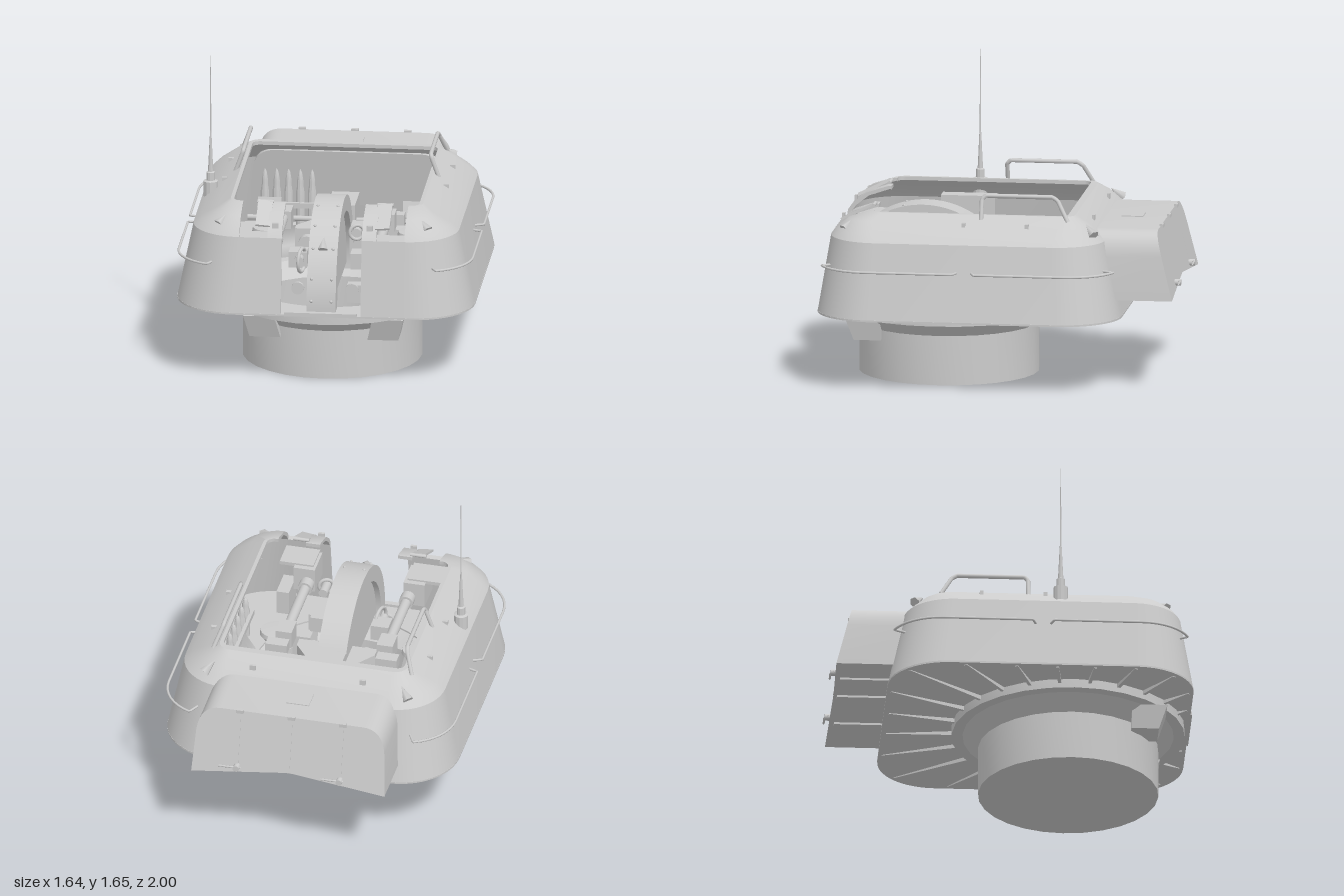
import * as THREE from 'three';
import { toCreasedNormals } from 'three/addons/utils/BufferGeometryUtils.js';

const mat = new THREE.MeshStandardMaterial({ color: 0xcccccc, side: THREE.DoubleSide });
const V = (x, y, z) => new THREE.Vector3(x, y, z);

export function createModel() {
  const root = new THREE.Group();
  const add = (name, geo, x = 0, y = 0, z = 0, rx = 0, ry = 0, rz = 0) => {
    const m = new THREE.Mesh(geo, mat);
    m.name = name;
    m.position.set(x, y, z);
    m.rotation.set(rx, ry, rz);
    root.add(m);
    return m;
  };
  const box = (name, w, h, d, ...at) => add(name, new THREE.BoxGeometry(w, h, d), ...at);
  const cyl = (name, r0, r1, h, ...at) => add(name, new THREE.CylinderGeometry(r0, r1, h, 16), ...at);
  const tube = (name, pts, r) => {
    const path = new THREE.CurvePath();
    for (let i = 1; i < pts.length; i++) path.add(new THREE.LineCurve3(pts[i - 1], pts[i]));
    return add(name, new THREE.TubeGeometry(path, pts.length * 8, r, 8));
  };
  const lathe = (name, pts, seg, ...at) => add(name, toCreasedNormals(
    new THREE.LatheGeometry(pts.map(p => new THREE.Vector2(...p)), seg), 0.5), ...at);

  // Armoured hull: rounded outlines lofted outside, over the rim and back down inside,
  // left open at the front slot
  const outline = ([y, hx, zf, zb, r]) => {
    const half = [[0.22, zf], [0.3, zf], [0.455, zf]];
    const arc = (cz, a0) => {
      for (let k = 0; k <= 10; k++) {
        const a = a0 - k * Math.PI / 20;
        half.push([hx - r + r * Math.cos(a), cz + r * Math.sin(a)]);
      }
    };
    arc(zf - r, Math.PI / 2);
    arc(zb + r, 0);
    return [...half, ...half.slice().reverse().map(([x, z]) => [-x, z])].map(([x, z]) => [x, y, z]);
  };
  const outer = [
    [0.41, 0.82, 0.99, -0.69, 0.33], [0.83, 0.732, 0.92, -0.6, 0.27], [0.87, 0.69, 0.89, -0.56, 0.23],
    [0.925, 0.6, 0.82, -0.5, 0.14], [0.965, 0.53, 0.7, -0.43, 0.07], [0.965, 0.51, 0.68, -0.39, 0.04]];
  const inner = outer.map(([y, hx, zf, zb, r], i) => i === 5 ? [0.945, hx, zf, zb, r]
    : [i ? y - 0.015 : y + 0.002, hx - 0.015, zf - 0.015, zb + 0.015, r - 0.015]);
  const rings = [...outer, ...inner.reverse()].map(outline);
  const n = rings[0].length, pos = [];
  const quad = (a, b, c, d) => pos.push(...a, ...b, ...c, ...a, ...c, ...d);
  for (let i = 0; i < 12; i++) {
    const A = rings[i], B = rings[(i + 1) % 12];
    for (let c = 0; c < n - 1; c++) {
      const notch = (c === 1 || c === n - 3) && i >= 1 && i <= 9;   // sight ports
      if (!notch) quad(A[c], A[c + 1], B[c + 1], B[c]);
    }
  }
  for (const c of [0, 1, 2, n - 3, n - 2, n - 1])                   // slot and port edges
    for (let i = 0; i < 5; i++) quad(rings[i][c], rings[i + 1][c], rings[10 - i][c], rings[11 - i][c]);
  for (const c of [1, n - 3]) quad(rings[1][c], rings[1][c + 1], rings[10][c + 1], rings[10][c]);
  const hull = new THREE.BufferGeometry();
  hull.setAttribute('position', new THREE.Float32BufferAttribute(pos, 3));
  add('hull', toCreasedNormals(hull, 0.42));

  // Floor plate with the turret ring hole
  const floor = new THREE.Shape(rings[0].map(p => new THREE.Vector2(p[0], -p[2])));
  floor.holes.push(new THREE.Path().absarc(0, -0.33, 0.5, 0, Math.PI * 2, true));
  add('floorPlate', new THREE.ExtrudeGeometry(floor, { depth: 0.01, bevelEnabled: false, curveSegments: 32 }), 0, 0.405, 0, -Math.PI / 2);
  box('frontSill', 0.4, 0.02, 0.03, 0, 0.42, 0.985);

  // Radial ribs under the floor, thinning towards the hull edge
  const inside = (x, z) => {
    const qx = Math.max(Math.abs(x) - 0.49, 0), qz = Math.max(Math.abs(z - 0.15) - 0.51, 0);
    return Math.hypot(qx, qz) < 0.3;
  };
  for (let k = 0; k < 24; k++) {
    const a = (k + 0.5) * Math.PI / 12;
    let t = 0.62;
    while (inside(t * Math.sin(a), 0.33 + t * Math.cos(a))) t += 0.01;
    if (t < 0.68) continue;
    const g = new THREE.BoxGeometry(0.018, 0.03, t - 0.6), p = g.attributes.position;
    for (let i = 0; i < p.count; i++) if (p.getY(i) < 0 && p.getZ(i) > 0) p.setY(i, 0.006);
    g.computeVertexNormals();
    add('floorRib', g, Math.sin(a) * (t + 0.6) / 2, 0.395, 0.33 + Math.cos(a) * (t + 0.6) / 2, 0, a);
  }

  // Pedestal with flared collar and ring, and the raised guard around the back of the well
  lathe('pedestal', [[0, 0], [0.495, 0], [0.495, 0.275], [0.58, 0.355], [0.64, 0.355], [0.64, 0.405]], 28, 0, 0, 0.33);
  add('ringGuard', new THREE.LatheGeometry([[0.5, 0.41], [0.5, 0.47], [0.56, 0.56], [0.565, 0.41]]
    .map(p => new THREE.Vector2(...p)), 32, Math.PI / 2, Math.PI), 0, 0, 0.33);

  // Slanted brackets on the pedestal front
  for (const s of [-1, 1]) {
    const g = new THREE.BoxGeometry(0.17, 0.13, 0.15), p = g.attributes.position;
    for (let i = 0; i < p.count; i++) {
      if (p.getY(i) > 0) {
        p.setX(i, p.getX(i) + s * 0.03);
        if (p.getZ(i) > 0) p.setZ(i, 0.12);
      }
    }
    g.computeVertexNormals();
    add('pedestalBracket', g, s * 0.325, 0.29, 0.73);
  }

  // Rear stowage box: arched section with sloping end
  const sec = new THREE.Shape();
  sec.moveTo(-0.545, 0.51).lineTo(0, 0.57).lineTo(0.545, 0.51).lineTo(0.53, 0.75);
  sec.quadraticCurveTo(0.515, 0.885, 0.4, 0.885).lineTo(-0.4, 0.885).quadraticCurveTo(-0.515, 0.885, -0.53, 0.75);
  const bustle = new THREE.ExtrudeGeometry(sec, { depth: 1, bevelEnabled: false, curveSegments: 8 });
  const bp = bustle.attributes.position;
  for (let i = 0; i < bp.count; i++) {
    const drop = 0.885 - bp.getY(i);
    bp.setZ(i, bp.getZ(i) > 0.5 ? -0.49 - drop * 0.2 : -0.88 - drop * 0.25);
  }
  add('stowageBox', toCreasedNormals(bustle, 0.6));
  box('stowageHatch', 0.13, 0.008, 0.12, 0, 0.886, -0.69);
  for (const x of [-0.29, 0, 0.29]) {
    box('stowageSeam', 0.012, 0.31, 0.008, x, 0.725, -0.92, 0.245);
    box('stowageHinge', 0.04, 0.02, 0.02, x, 0.885, -0.885);
    box('bottomStrap', 0.025, 0.012, 0.3, x, 0.56 - Math.abs(x) * 0.1, -0.79);
    if (x) {
      cyl('stowageLatch', 0.018, 0.018, 0.05, x, 0.57, -0.965, Math.PI / 2);
      tube('latchHandle', [V(x - 0.02, 0.57, -0.97), V(x + 0.03, 0.58, -0.99), V(x + 0.1, 0.58, -0.99)], 0.006);
    }
  }

  // Rails, handles and fittings mirrored on both sides
  for (const s of [-1, 1]) {
    for (const [zStart, zc, d] of [[0.19, 0.69, 1], [0.11, -0.4, -1]]) {
      const pts = [V(s * 0.755, 0.68, zStart), V(s * 0.81, 0.68, zStart + d * 0.02)];
      for (let k = 0; k <= 8; k++) {
        const a = k * 0.15;
        pts.push(V(s * (0.53 + 0.28 * Math.cos(a)), 0.68, zc + d * 0.28 * Math.sin(a)));
      }
      pts.push(V(s * 0.6, 0.68, zc + d * 0.2));
      tube('sideRail', pts, 0.007);
    }
    tube('roofHandle', [V(s * 0.56, 0.94, 0.08), V(s * 0.52, 1.05, 0.08), V(s * 0.515, 1.07, 0.06),
      V(s * 0.515, 1.07, -0.31), V(s * 0.52, 1.05, -0.34), V(s * 0.56, 0.94, -0.4)], 0.012);
    for (const [z, d] of [[0.81, 1], [-0.52, -1]])
      add('liftingLug', new THREE.ConeGeometry(0.032, 0.09, 6), s * 0.55, 0.9, z, -d * 0.75, 0, s * 0.6);
    for (const z of [-0.18, 0.17]) box('sideLug', 0.03, 0.025, 0.02, s * 0.61, 0.92, z);
    box('roofClip', 0.035, 0.03, 0.015, s * 0.26, 0.89, 0.88);
    box('roofClip', 0.035, 0.03, 0.015, s * 0.31, 0.925, -0.51);
    // sight port flap, propped open
    box('sightFlap', 0.08, 0.012, 0.2, s * 0.33, 0.93, 0.79, 0.46, 0, s * 0.1);
    cyl('flapHinge', 0.01, 0.01, 0.09, s * 0.33, 0.97, 0.7, 0, 0, Math.PI / 2);
    box('portHousing', 0.19, 0.02, 0.16, s * 0.36, 0.79, 0.79);
  }

  // Antenna
  lathe('antenna', [[0.04, 0.85], [0.04, 0.935], [0.024, 0.94], [0.024, 0.985], [0.015, 0.99],
    [0.011, 1.07], [0.006, 1.18], [0.004, 1.2], [0.002, 1.655], [0, 1.655]], 12, -0.68, 0, 0.25);

  // Central gun shield: curved band with recessed web, extruded across x
  const slab = (name, shape, w) => add(name, toCreasedNormals(
    new THREE.ExtrudeGeometry(shape, { depth: w, bevelEnabled: false, curveSegments: 32 }), 0.5), w / 2, 0.435, 0.465, 0, -Math.PI / 2);
  slab('gunShieldBand', new THREE.Shape().absarc(0, 0, 0.49, -0.02, Math.PI + 0.1, false)
    .absarc(0, 0, 0.4, Math.PI + 0.1, -0.02, true), 0.16);
  slab('gunShieldWeb', new THREE.Shape().absarc(0, 0, 0.41, 0, Math.PI, false), 0.1);
  add('shieldLug', new THREE.ConeGeometry(0.03, 0.08, 6), 0, 0.78, 0.825, -0.7);
  for (const a of [0.1, 0.35, 0.7, 1, 1.35]) for (const s of [-1, 1])
    add('shieldBolt', new THREE.SphereGeometry(0.009, 8, 6), s * 0.055, 0.435 + 0.49 * Math.sin(a), 0.465 + 0.49 * Math.cos(a));
  box('gunCradle', 0.15, 0.12, 0.4, 0, 0.63, -0.19);
  box('breech', 0.18, 0.12, 0.1, 0, 0.68, -0.04);
  box('floorBox', 0.16, 0.1, 0.07, 0.2, 0.46, 0.69);

  // Crew stations and mechanisms on each side of the gun
  for (const s of [-1, 1]) {
    for (const z of [-0.08, 0.38]) {
      lathe('crewSeat', [[0, 0.53], [0.07, 0.53], [0.085, 0.55], [0.08, 0.575], [0, 0.58]], 20, s * 0.4, 0, z);
      cyl('seatPost', 0.02, 0.02, z > 0 ? 0.5 : 0.1, s * 0.4, z > 0 ? 0.28 : 0.48, z);
    }
    box('seatBack', 0.13, 0.09, 0.025, s * 0.4, 0.66, -0.2, -0.3);
    // trunnion plate, wider at the front
    const plate = new THREE.Shape();
    plate.moveTo(0, 0).lineTo(s * 0.05, 0).lineTo(s * 0.14, -0.12).lineTo(s * 0.14, -0.18).lineTo(0, -0.18);
    add('trunnionPlate', new THREE.ExtrudeGeometry(plate, { depth: 0.14, bevelEnabled: false }), s * 0.08, 0.52, 0.02, -Math.PI / 2);
    cyl('recoilCylinder', 0.05, 0.05, 0.1, s * 0.15, 0.58, 0.2, Math.PI / 2);
    cyl('sightTube', 0.028, 0.028, 0.44, s * 0.285, 0.72, 0.44, Math.PI / 2);
    cyl('sightCollar', 0.04, 0.04, 0.06, s * 0.285, 0.72, 0.62, Math.PI / 2);
    box('sightBody', 0.09, 0.1, 0.12, s * 0.285, 0.71, 0.16);
    box('sightMount', 0.12, 0.06, 0.07, s * 0.31, 0.69, 0.06);
    box('sightHead', 0.12, 0.14, 0.18, s * 0.31, 0.72, 0.77);
    tube('crossBar', [V(s * 0.1, 0.66, 0.02), V(s * 0.5, 0.66, 0.02)], 0.015);
    box('gearBox', 0.1, 0.09, 0.1, s * 0.17, 0.59, 0.5);
    box('stowedBin', 0.07, 0.14, 0.17, s * 0.43, 0.55, 0.76);
    cyl('wheelHub', 0.025, 0.025, 0.1, s * 0.16, s > 0 ? 0.77 : 0.6, 0.55, Math.PI / 2);
    cyl('footPedal', 0.035, 0.035, 0.02, s * 0.15, 0.49, 0.74, Math.PI / 2);
  }
  add('elevationWheel', new THREE.TorusGeometry(0.065, 0.01, 8, 20), -0.145, 0.6, 0.58, 0, 1.35);
  add('traverseWheel', new THREE.TorusGeometry(0.04, 0.01, 8, 20), 0.16, 0.77, 0.58, 0, 0.3);
  lathe('commanderSeat', [[0, 0.56], [0.085, 0.57], [0.085, 0.6], [0, 0.605]], 20, 0.21, 0, -0.26);
  cyl('seatPost', 0.02, 0.02, 0.16, 0.21, 0.49, -0.26);

  // Ready rounds at the rear and, shorter, along the walls
  const round = (x, z, h) => lathe('readyRound',
    [[0, 0], [0.024, 0], [0.024, 0.66], [0.018, 0.76], [0.018, 0.83], [0.01, 0.95], [0, 1]]
      .map(([r, y]) => [r, 0.42 + y * h]), 10, x, 0, z);
  for (let k = 0; k < 5; k++) {
    round(-0.45 + k * 0.065, -0.43, 0.38);
    for (const s of [-1, 1]) round(s * 0.6, 0.15 + k * 0.09, 0.25);
  }
  for (const s of [-1, 1]) box('roundRack', 0.02, 0.03, 0.46, s * 0.57, 0.55, 0.33);
  box('roundRack', 0.34, 0.03, 0.02, -0.32, 0.6, -0.4);
  box('radioSet', 0.09, 0.12, 0.3, -0.59, 0.8, 0.3);
  return root;
}
